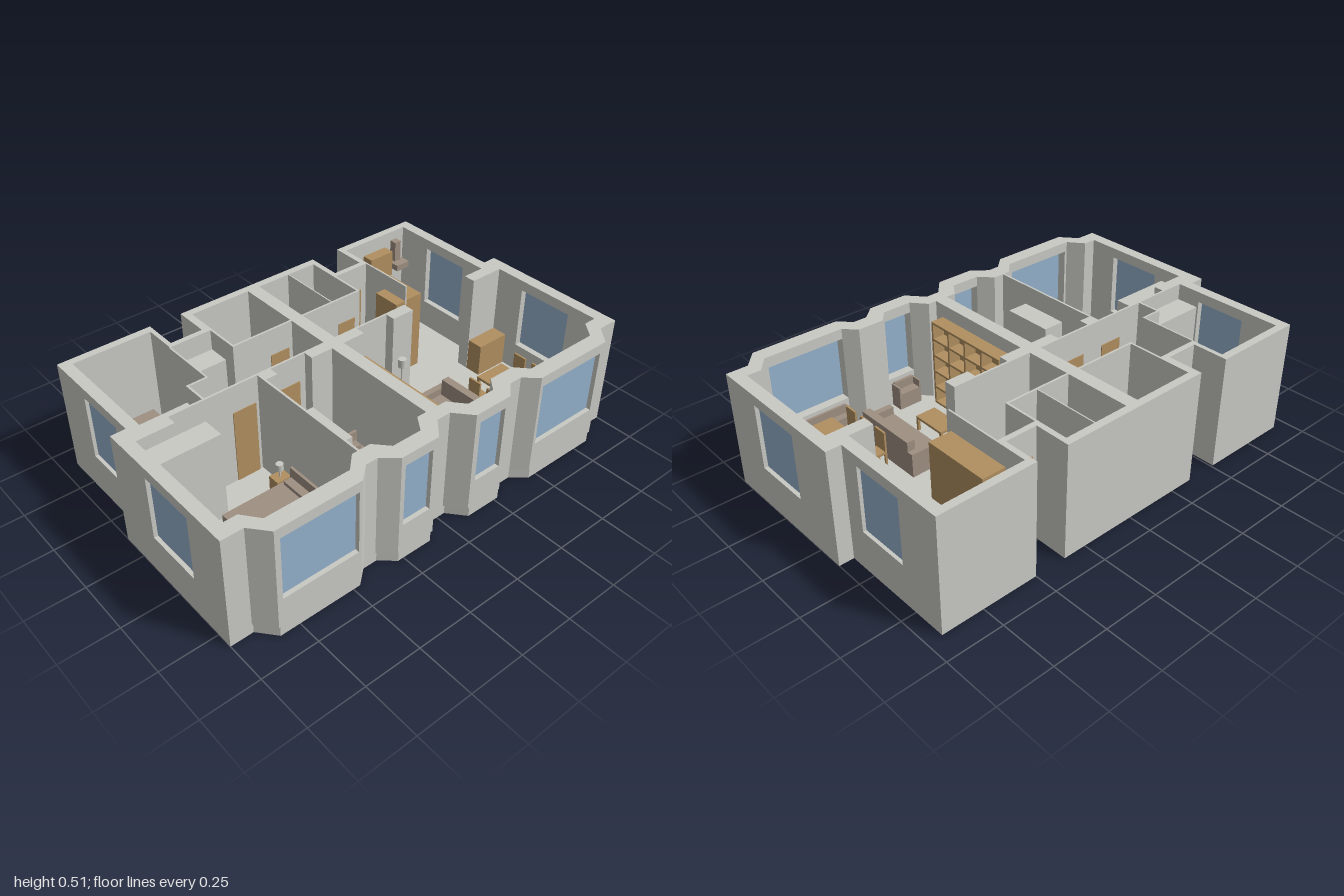
import * as THREE from 'three';

const mat = (name, color) => new THREE.MeshStandardMaterial({ name, color });

export function createModel() {
  const wall = mat('plaster', 0xc9c9c4), glass = mat('window glass', 0x94b2cc);
  const wood = mat('wood', 0xb08f60), cloth = mat('upholstery', 0x9e8f81);
  const F = 0.045, TOP = 0.515, SILL = 0.178, HEAD = 0.468;
  const root = new THREE.Group();
  root.name = 'apartment';

  const group = (name, x = 0, z = 0, turn = 0) => {
    const g = new THREE.Group();
    g.name = name;
    g.position.set(x, 0, z);
    g.rotation.y = turn;
    root.add(g);
    return g;
  };
  const add = (parent, name, geo, m) => {
    const mesh = new THREE.Mesh(geo, m);
    mesh.name = name;
    parent.add(mesh);
    return mesh;
  };
  // box given by its limits in x, z and y
  const box = (parent, name, m, x0, x1, z0, z1, y0, y1) => {
    const mesh = add(parent, name, new THREE.BoxGeometry(x1 - x0, y1 - y0, z1 - z0), m);
    mesh.position.set((x0 + x1) / 2, (y0 + y1) / 2, (z0 + z1) / 2);
    return mesh;
  };
  // floor-plan polygon of [x, z] points pulled up from y0 to y1
  const plan = (parent, name, pts, y0, y1) => {
    const s = new THREE.Shape(pts.map(([x, z]) => new THREE.Vector2(x, -z)));
    const geo = new THREE.ExtrudeGeometry(s, { depth: y1 - y0, bevelEnabled: false });
    geo.rotateX(-Math.PI / 2).translate(0, y0, 0);
    return add(parent, name, geo, wall);
  };
  const disc = (parent, name, m, x, z, r, y0, y1, sx = 1, sz = 1) => {
    const mesh = add(parent, name, new THREE.CylinderGeometry(r, r, y1 - y0, 20), m);
    mesh.position.set(x, (y0 + y1) / 2, z);
    mesh.scale.set(sx, 1, sz);
  };
  const flip = pts => pts.map(([x, z]) => [-x, z]);

  // floor slab
  const back = [[0.935, -0.12], [0.935, -0.645], [0.5, -0.645], [0.5, -0.485], [0.355, -0.485], [0.355, -0.645],
    [-0.36, -0.645], [-0.36, -0.485], [-0.51, -0.485], [-0.51, -0.645], [-0.935, -0.645], [-0.935, -0.12]];
  plan(root, 'floorSlab', [...back, [-1, -0.12], [-1, 0.57], [-0.9, 0.57], [-0.837, 0.645], [-0.468, 0.645],
    [-0.404, 0.59], [-0.34, 0.59], [-0.277, 0.645], [-0.11, 0.645], [-0.05, 0.57], [0.04, 0.57], [0.103, 0.645],
    [0.27, 0.645], [0.333, 0.59], [0.395, 0.59], [0.46, 0.645], [0.832, 0.645], [0.896, 0.57], [1, 0.57], [1, -0.12]], 0, F);

  // outer walls between the windows
  const outer = group('outerWalls');
  const corner = [[-1, 0.37], [-1, 0.57], [-0.905, 0.57], [-0.842, 0.645], [-0.818, 0.645], [-0.818, 0.575],
    [-0.83, 0.575], [-0.885, 0.505], [-0.945, 0.505], [-0.945, 0.37]];
  const side = [[-1, 0.107], [-1, -0.12], [-0.935, -0.12], [-0.935, -0.203], [-0.885, -0.203], [-0.885, -0.035],
    [-0.945, -0.035], [-0.945, 0.107]];
  for (const f of [p => p, flip]) {
    plan(outer, 'frontCorner', f(corner), F, TOP);
    plan(outer, 'sidePier', f(side), F, TOP);
  }
  plan(outer, 'frontPier', [[-0.475, 0.645], [-0.462, 0.645], [-0.4, 0.59], [-0.345, 0.59], [-0.28, 0.645], [-0.26, 0.645],
    [-0.26, 0.575], [-0.315, 0.515], [-0.4, 0.515], [-0.46, 0.575], [-0.475, 0.575]], F, TOP);
  plan(outer, 'frontPier', [[-0.125, 0.645], [-0.1, 0.645], [-0.035, 0.57], [0.03, 0.57], [0.095, 0.645], [0.12, 0.645],
    [0.12, 0.575], [0.065, 0.51], [-0.08, 0.51], [-0.125, 0.575]], F, TOP);
  plan(outer, 'frontPier', [[0.255, 0.645], [0.275, 0.645], [0.335, 0.59], [0.395, 0.59], [0.455, 0.645], [0.47, 0.645],
    [0.47, 0.575], [0.42, 0.52], [0.3, 0.52], [0.255, 0.575]], F, TOP);
  plan(outer, 'backWall', [[0.935, -0.44], ...back.slice(1, -1), [-0.935, -0.44], [-0.885, -0.44], [-0.885, -0.61],
    [-0.53, -0.61], [-0.53, -0.46], [-0.325, -0.46], [-0.325, -0.61], [0.33, -0.61], [0.33, -0.46], [0.525, -0.46],
    [0.525, -0.61], [0.885, -0.61], [0.885, -0.44]], F, TOP);

  // windows: sill wall, lintel and a pane set into the opening
  const win = (x0, x1, z0, z1) => {
    const g = group('window'), alongX = z0 > 0.5, cx = (x0 + x1) / 2, out = Math.sign(cx) * 0.006;
    box(g, 'sillWall', wall, x0, x1, z0, z1, F, SILL);
    box(g, 'lintel', wall, x0, x1, z0, z1, HEAD, TOP);
    if (alongX) box(g, 'pane', glass, x0, x1, 0.617, 0.625, SILL, HEAD);
    else box(g, 'pane', glass, cx + out - 0.004, cx + out + 0.004, z0, z1, SILL, HEAD);
  };
  for (const [a, b] of [[-0.818, -0.475], [-0.26, -0.125], [0.12, 0.255], [0.47, 0.818]]) win(a, b, 0.575, 0.645);
  win(-1, -0.945, 0.107, 0.37);
  win(0.945, 1, 0.107, 0.37);
  win(-0.935, -0.885, -0.44, -0.203);
  win(0.885, 0.935, -0.44, -0.203);

  // inner walls: x0, x1, z0, z1
  const inner = group('innerWalls');
  for (const [a, b, c, d] of [[-0.035, 0.025, -0.611, 0.511], [-0.335, -0.035, -0.31, -0.3], [0.025, 0.34, -0.31, -0.3],
    [-0.335, -0.325, -0.461, -0.3], [0.33, 0.34, -0.461, -0.3], [0.185, 0.191, -0.611, -0.31],
    [-0.535, -0.527, -0.461, -0.19], [-0.62, -0.527, -0.2, -0.19], [-0.625, -0.615, -0.2, -0.09],
    [-0.886, -0.035, -0.09, -0.08], [0.025, 0.41, -0.09, -0.08], [-0.886, -0.78, -0.08, -0.035],
    [-0.375, -0.31, -0.08, -0.035], [-0.14, -0.035, -0.08, -0.035], [0.025, 0.135, -0.08, -0.035],
    [0.3, 0.41, -0.08, -0.035], [0.78, 0.886, -0.09, -0.035], [-0.375, -0.365, -0.035, 0.516],
    [0.517, 0.525, -0.461, -0.195]]) box(inner, 'partition', wall, a, b, c, d, F, TOP);

  // doors: a thin leaf on each face of its wall
  const doorX = (x0, x1, z0, z1) => [z0 - 0.002, z1 + 0.002].forEach(z =>
    box(root, 'door', wood, x0, x1, z - 0.002, z + 0.002, F, 0.39));
  doorX(-0.28, -0.17, -0.09, -0.08);
  doorX(-0.5, -0.39, -0.09, -0.08);
  doorX(-0.15, -0.055, -0.31, -0.3);
  doorX(0.22, 0.31, -0.31, -0.3);
  doorX(0.375, 0.485, -0.485, -0.46);
  for (const x of [-0.538, -0.524]) box(root, 'door', wood, x - 0.002, x + 0.002, -0.32, -0.215, F, 0.37);

  // plain cupboards and built-ins: name, material, x0, x1, z0, z1, y0, y1
  for (const [n, m, ...b] of [['wardrobe', wall, -0.945, -0.65, -0.035, 0.065, F, 0.455],
    ['wardrobe', wall, -0.365, -0.265, 0.125, 0.36, F, 0.425], ['wardrobe', wall, -0.885, -0.63, -0.195, -0.09, F, 0.44],
    ['wardrobe', wall, -0.527, -0.335, -0.46, -0.36, F, 0.42], ['washer', wall, 0.025, 0.125, -0.61, -0.515, F, 0.2],
    ['vanity', wall, 0.025, 0.115, -0.5, -0.325, F, 0.19], ['basinCabinet', wood, -0.325, -0.25, -0.4, -0.31, F, 0.19],
    ['basin', wall, 0.28, 0.33, -0.455, -0.41, 0.14, 0.2], ['kitchenCounter', wall, 0.635, 0.885, -0.61, -0.515, F, 0.2],
    ['kitchenCounter', wall, 0.525, 0.635, -0.61, -0.515, F, 0.2], ['upperCabinet', wood, 0.635, 0.77, -0.61, -0.555, 0.32, 0.445],
    ['hood', cloth, 0.785, 0.86, -0.61, -0.535, 0.34, 0.37], ['hoodDuct', cloth, 0.805, 0.84, -0.61, -0.575, 0.37, 0.47],
    ['tallCabinet', wood, 0.525, 0.63, -0.51, -0.21, F, 0.43], ['hallCabinet', wood, 0.465, 0.517, -0.33, -0.195, F, 0.44],
    ['sideboard', wood, 0.78, 0.944, -0.033, 0.042, F, 0.2]]) box(root, n, m, ...b);

  // bathtub with a rim around the basin
  const tub = group('bathtub');
  box(tub, 'tubFloor', wall, -0.325, -0.035, -0.61, -0.495, F, 0.07);
  for (const b of [[-0.325, -0.035, -0.61, -0.6], [-0.325, -0.035, -0.505, -0.495], [-0.325, -0.315, -0.6, -0.505],
    [-0.045, -0.035, -0.6, -0.505]]) box(tub, 'tubRim', wall, ...b, F, 0.14);

  // toilets, bowl towards local +z
  for (const [x, z, r] of [[-0.325, -0.445, Math.PI / 2], [0.262, -0.61, 0]]) {
    const g = group('toilet', x, z, r);
    box(g, 'cistern', wall, -0.032, 0.032, 0, 0.028, F, 0.19);
    disc(g, 'bowl', wall, 0, 0.068, 0.028, F, 0.125, 1, 1.45);
  }

  // beds: headboard at local z = 0, length towards +z
  const bed = (x, z, turn, w, l, pillows) => {
    const g = group('bed', x, z, turn);
    box(g, 'headboard', cloth, -w / 2, w / 2, 0, 0.012, F, 0.185);
    box(g, 'mattress', cloth, -w / 2, w / 2, 0.012, l, F, 0.13);
    const pw = (w - 0.02) / pillows;
    for (let i = 0; i < pillows; i++) {
      const a = -w / 2 + 0.01 + i * pw;
      box(g, 'pillow', cloth, a + 0.004, a + pw - 0.004, 0.018, 0.055, 0.13, 0.147);
    }
  };
  bed(-0.375, 0.26, -Math.PI / 2, 0.27, 0.34, 2);
  bed(-0.11, 0.11, 0, 0.15, 0.32, 1);
  bed(-0.883, -0.537, Math.PI / 2, 0.15, 0.318, 1);

  // nightstands with lamps
  for (const [x, z] of [[-0.411, 0.09], [-0.411, 0.435], [-0.228, 0.14]]) {
    const g = group('nightstand', x, z);
    box(g, 'cabinet', wood, -0.034, 0.034, -0.028, 0.028, F, 0.13);
    disc(g, 'lampStem', wall, 0, 0, 0.004, 0.13, 0.17);
    disc(g, 'lampShade', wall, 0, 0, 0.016, 0.165, 0.195);
  }

  // tables
  const table = (name, x0, x1, z0, z1, h) => {
    const g = group(name), t = 0.012;
    box(g, 'top', wood, x0, x1, z0, z1, h - t, h);
    for (const x of [x0, x1 - t]) for (const z of [z0, z1 - t]) box(g, 'leg', wood, x, x + t, z, z + t, F, h - t);
  };
  table('diningTable', 0.615, 0.77, 0.18, 0.48, 0.19);
  table('coffeeTable', 0.185, 0.285, 0.175, 0.345, 0.115);
  table('desk', -0.885, -0.795, -0.43, -0.23, 0.19);
  table('desk', -0.26, -0.135, 0.51, 0.573, 0.19);

  // chairs facing local +z
  const chair = (x, z, turn) => {
    const g = group('chair', x, z, turn), w = 0.032;
    box(g, 'seat', wood, -w, w, -0.037, 0.037, 0.12, 0.132);
    box(g, 'backrest', wood, -w, w, -0.037, -0.028, 0.132, 0.225);
    for (const a of [-w, w - 0.009]) for (const b of [-0.037, 0.028]) box(g, 'leg', wood, a, a + 0.009, b, b + 0.009, F, 0.12);
  };
  for (const z of [0.228, 0.33, 0.432]) {
    chair(0.582, z, Math.PI / 2);
    chair(0.805, z, -Math.PI / 2);
  }
  chair(-0.757, -0.328, -Math.PI / 2);
  chair(-0.197, 0.472, 0);

  // padded seats facing local +z
  const sofa = (name, x, z, turn, w, d, arm = 0.028, h = 0.2) => {
    const g = group(name, x, z, turn), bk = d * 0.24;
    box(g, 'seat', cloth, -w / 2 + arm, w / 2 - arm, -d / 2 + bk, d / 2, F, 0.12);
    box(g, 'backrest', cloth, -w / 2 + arm, w / 2 - arm, -d / 2, -d / 2 + bk, F, h);
    for (const s of [-1, 1]) box(g, 'armrest', cloth, ...[s * w / 2, s * (w / 2 - arm)].sort((a, b) => a - b), -d / 2, d / 2, F, 0.155);
  };
  sofa('sofa', 0.428, 0.262, -Math.PI / 2, 0.365, 0.155);
  sofa('armchair', 0.195, 0.043, 0, 0.135, 0.135);
  sofa('armchair', -0.873, 0.242, Math.PI / 2, 0.12, 0.13);
  sofa('windowBench', -0.65, 0.552, Math.PI, 0.31, 0.045, 0.008, 0.16);
  sofa('windowBench', 0.642, 0.552, Math.PI, 0.31, 0.045, 0.008, 0.16);
  sofa('windowBench', 0.187, 0.545, Math.PI, 0.115, 0.058, 0.008, 0.16);

  // floor lamp
  const lamp = group('floorLamp', 0.315, 0.012);
  disc(lamp, 'base', wall, 0, 0, 0.018, F, 0.052);
  disc(lamp, 'pole', wall, 0, 0, 0.004, 0.052, 0.29);
  disc(lamp, 'shade', wall, 0, 0, 0.018, 0.29, 0.33);

  // bookcase, open towards +x
  const shelf = group('bookcase');
  box(shelf, 'backPanel', wood, 0.026, 0.032, 0.025, 0.465, F, 0.455);
  for (let i = 0; i < 6; i++) box(shelf, 'shelf', wood, 0.026, 0.09, 0.025, 0.465, F + i * 0.08, F + i * 0.08 + 0.01);
  for (let i = 0; i < 5; i++) box(shelf, 'upright', wood, 0.026, 0.09, 0.025 + i * 0.1075, 0.035 + i * 0.1075, F, 0.455);
  return root;
}
